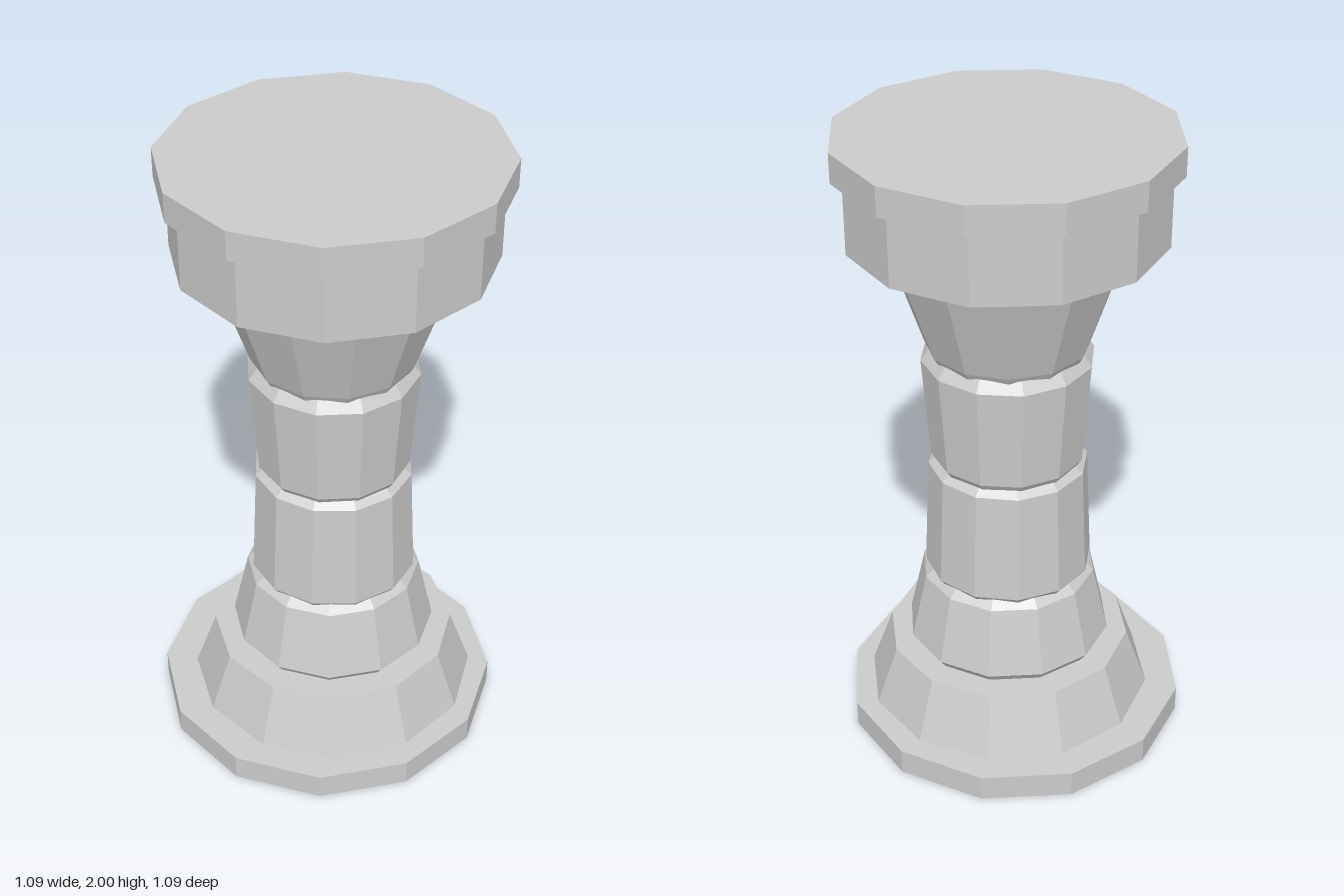
import * as THREE from 'three';

const SIDES = 12;
const material = new THREE.MeshStandardMaterial({ color: 0xcccccc, flatShading: true });

// A closed twelve-sided stone turned from [radius, height] pairs, bottom to top
function stone(name, profile, x, turnDegrees) {
  const points = [[0, profile[0][1]], ...profile, [0, profile.at(-1)[1]]]
    .map(([r, y]) => new THREE.Vector2(r, y));
  const mesh = new THREE.Mesh(new THREE.LatheGeometry(points, SIDES), material);
  mesh.name = name;
  mesh.position.x = x;
  mesh.rotation.y = THREE.MathUtils.degToRad(turnDegrees);
  return mesh;
}

export function createModel() {
  const group = new THREE.Group();
  group.name = 'stoneColumn';
  group.add(
    // Foot of the column
    stone('baseSlab', [[0.545, 0], [0.545, 0.085]], 0, 0),
    stone('plinth', [[0.46, 0.085], [0.39, 0.28]], 0.02, 3),
    // Stacked shaft blocks with chamfered rims
    stone('lowerBlock', [[0.305, 0.28], [0.327, 0.31], [0.277, 0.53], [0.25, 0.555]], 0.02, 0),
    stone('middleBlock', [[0.25, 0.545], [0.265, 0.565], [0.249, 0.925], [0.225, 0.945]], 0.02, -12),
    stone('upperBlock', [[0.22, 0.935], [0.24, 0.965], [0.265, 1.295], [0.24, 1.33]], 0.02, -9),
    stone('flaredBlock', [[0.235, 1.315], [0.252, 1.345], [0.355, 1.65], [0.32, 1.69]], 0.02, 12),
    // Head of the column
    stone('capital', [[0.477, 1.69], [0.477, 1.91]], 0.022, -1),
    stone('capSlab', [[0.51, 1.91], [0.51, 2]], 0.022, -1.4)
  );
  return group;
}
